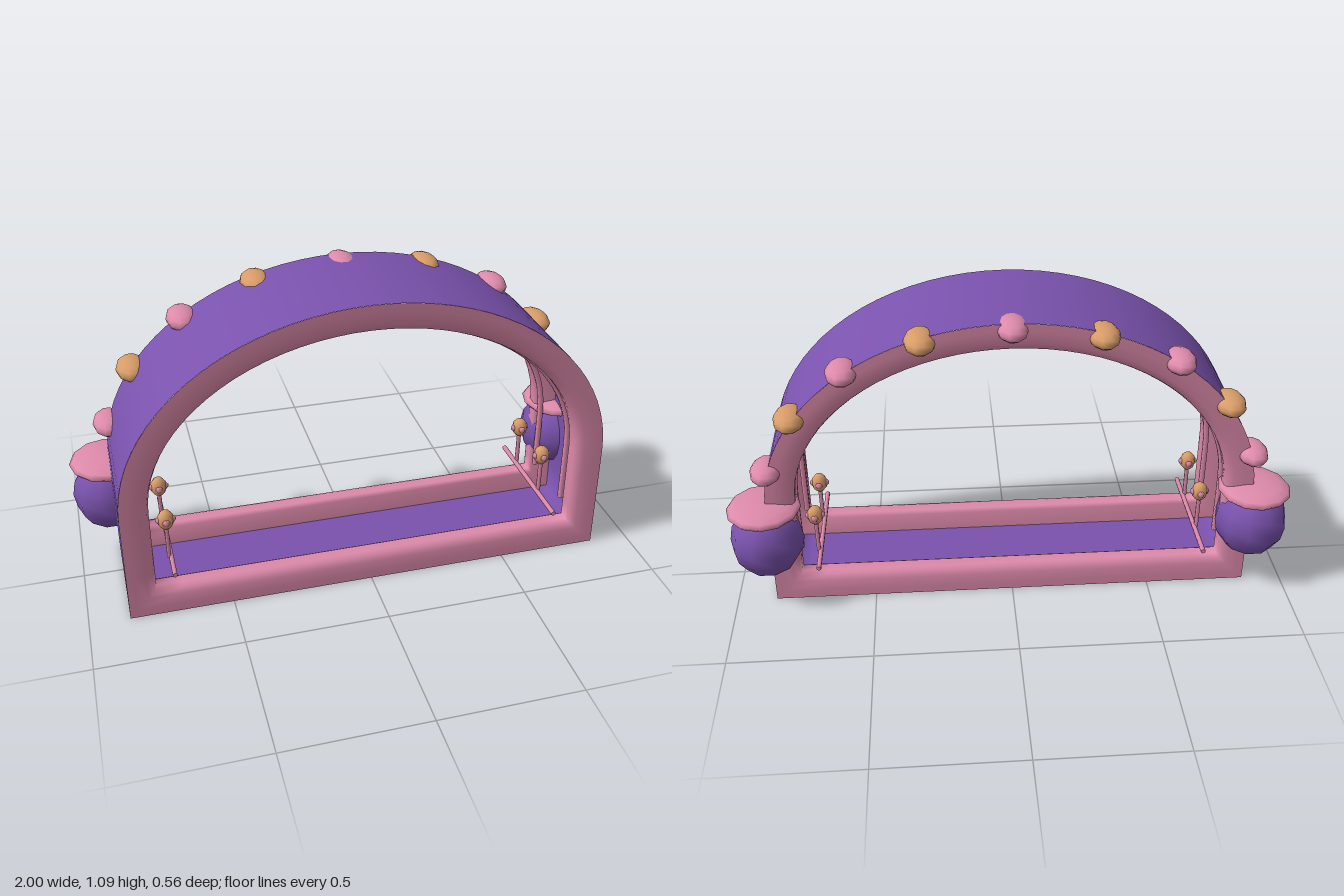
import * as THREE from 'three';

const purple = new THREE.MeshStandardMaterial({ color: 0x7a52ad });
purple.name = 'purple';
const pink = new THREE.MeshStandardMaterial({ color: 0xdd8aaa });
pink.name = 'pink';
const orange = new THREE.MeshStandardMaterial({ color: 0xd89c68 });
orange.name = 'orange';

// Arch outline, counter-clockwise, moved inwards by d
function outline(d) {
  const w = 0.86 - d, h = 0.675 - d, pts = [];
  for (const x of [-w, -w + 0.09, 0, w - 0.09, w]) pts.push([x, d]);
  pts.push([w, 0.16]);
  for (let i = 0; i <= 40; i++) {
    const a = Math.PI * i / 40;
    pts.push([w * Math.cos(a), 0.4 + h * Math.sin(a)]);
  }
  pts.push([-w, 0.16]);
  return pts;
}

// Sweeps a profile of [inset, z] points round the outline
function sweep(profile) {
  const rows = profile.map(([d]) => outline(d));
  const n = rows[0].length, pos = [], idx = [];
  rows.forEach((row, j) => row.forEach(([x, y]) => pos.push(x, y, profile[j][1])));
  for (let j = 0; j < rows.length - 1; j++) {
    for (let k = 0; k < n; k++) {
      const a = j * n + k, b = j * n + (k + 1) % n;
      idx.push(a, b, b + n, a, b + n, a + n);
    }
  }
  const g = new THREE.BufferGeometry();
  g.setAttribute('position', new THREE.Float32BufferAttribute(pos, 3));
  g.setIndex(idx);
  g.computeVertexNormals();
  return g;
}

export function createModel() {
  const model = new THREE.Group();
  model.name = 'archway';

  function add(name, geometry, material, x = 0, y = 0, z = 0, parent = model) {
    const m = new THREE.Mesh(geometry, material);
    m.name = name;
    m.position.set(x, y, z);
    parent.add(m);
    return m;
  }
  const ellipsoid = (rx, ry, rz, ws = 10, hs = 8) => new THREE.SphereGeometry(1, ws, hs).scale(rx, ry, rz);

  // Thin channel shell and the two rounded rims
  add('shellOutside', sweep([[0, -0.167], [0, 0.279]]), purple);
  add('shellInside', sweep([[0.02, 0.26], [0.02, -0.15]]), purple);
  add('frontRim', sweep([[0, 0.28], [0.03, 0.28], [0.07, 0.278], [0.093, 0.268], [0.1, 0.25],
    [0.1, 0.215], [0.09, 0.2], [0.02, 0.195]]), pink);
  add('backRim', sweep([[0.02, -0.085], [0.09, -0.09], [0.1, -0.105], [0.1, -0.14],
    [0.093, -0.156], [0.07, -0.166], [0.03, -0.168], [0, -0.168]]), pink);

  // Slim arch rails just inside each rim
  const rail = [new THREE.Vector3(-0.767, 0.15, 0)];
  for (let i = 0; i <= 32; i++) {
    const a = Math.PI * (1 - i / 32);
    rail.push(new THREE.Vector3(0.767 * Math.cos(a), 0.4 + 0.562 * Math.sin(a), 0));
  }
  rail.push(new THREE.Vector3(0.767, 0.15, 0));
  const railGeo = new THREE.TubeGeometry(new THREE.CatmullRomCurve3(rail), 72, 0.011, 6);
  add('frontRail', railGeo, pink, 0, 0, 0.18);
  add('backRail', railGeo, pink, 0, 0, -0.06);

  // Flattened beads along the back edge
  const beadGeo = ellipsoid(0.055, 0.037, 0.085);
  const beads = [[0.845, 0.54], [0.745, 0.742], [0.56, 0.91], [0.3, 1.013], [0, 1.049]];
  beads.forEach(([x, y], i) => {
    for (const s of x ? [1, -1] : [1]) add('bead', beadGeo, i % 2 ? orange : pink, s * x, y, -0.143);
  });

  const bulbGeo = ellipsoid(0.03, 0.037, 0.03, 8, 6);
  const petalGeo = new THREE.SphereGeometry(0.014, 6, 5);
  for (const s of [1, -1]) {
    // Side ball with its cap
    add('sideBall', ellipsoid(0.13, 0.138, 0.138), purple, s * 0.87, 0.258, -0.143);
    add('ballCap', ellipsoid(0.13, 0.033, 0.137, 12, 8), pink, s * 0.87, 0.387, -0.143);

    // Ground bar carrying two budded stalks, turned half round on the other side
    const planter = new THREE.Group();
    planter.name = s > 0 ? 'leftPlanter' : 'rightPlanter';
    planter.position.set(s * 0.695, 0.153, 0.04);
    if (s > 0) planter.rotation.y = Math.PI;
    model.add(planter);
    add('bar', new THREE.CylinderGeometry(0.009, 0.009, 0.48, 6).rotateX(Math.PI / 2), pink, 0, 0, 0, planter);
    for (const z of [0.13, -0.08]) {
      add('stalk', new THREE.CylinderGeometry(0.008, 0.008, 0.14, 6), pink, -0.007, 0.07, z, planter);
      add('bud', bulbGeo, orange, -0.007, 0.158, z, planter);
      for (let k = 0; k < 4; k++) {
        const a = Math.PI * k / 2;
        add('petal', petalGeo, pink, -0.007 + 0.022 * Math.sin(a), 0.158, z + 0.022 * Math.cos(a), planter);
      }
    }
  }
  return model;
}
